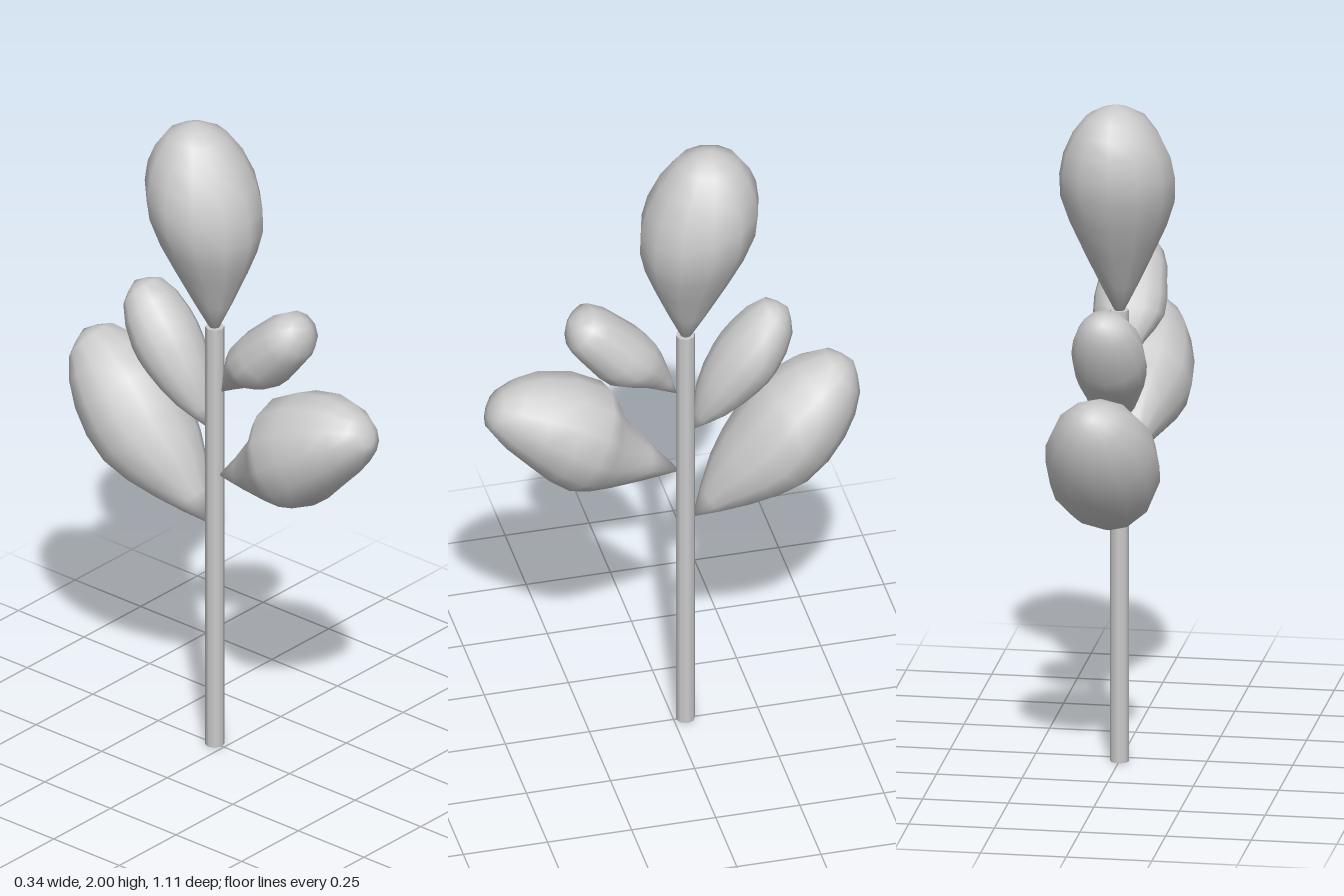
import * as THREE from 'three';
import { mergeVertices } from 'three/addons/utils/BufferGeometryUtils.js';

const material = new THREE.MeshStandardMaterial({ color: 0xcccccc });
const SIDES = 12;
const STEPS = 10;

// Plump leaf lofted between two outlines in the (z, y) plane, from base to tip.
// edgeA and edgeB are opposite edges; widthRatio is the x width over the gap between them.
function leafGeometry({ base, tip, edgeA, edgeB, widthRatio }) {
  const curve = (edge) => new THREE.CatmullRomCurve3(
    [base, ...edge, tip].map(([z, y]) => new THREE.Vector3(0, y, z)));
  const a = curve(edgeA);
  const b = curve(edgeB);
  const positions = [];
  const index = [];
  for (let i = 0; i <= STEPS; i++) {
    const pa = a.getPoint(i / STEPS);
    const pb = b.getPoint(i / STEPS);
    const middle = pa.clone().add(pb).multiplyScalar(0.5);
    const half = pa.clone().sub(middle);
    const width = half.length() * widthRatio;
    for (let j = 0; j < SIDES; j++) {
      const angle = (j / SIDES) * Math.PI * 2;
      const p = middle.clone().addScaledVector(half, Math.cos(angle));
      positions.push(width * Math.sin(angle), p.y, p.z);
      if (i === STEPS) continue;
      const k = i * SIDES + j;
      const next = i * SIDES + ((j + 1) % SIDES);
      if (i > 0) index.push(k, next, k + SIDES);
      if (i < STEPS - 1) index.push(next, next + SIDES, k + SIDES);
    }
  }
  const geometry = new THREE.BufferGeometry();
  geometry.setAttribute('position', new THREE.Float32BufferAttribute(positions, 3));
  geometry.setIndex(index);
  const merged = mergeVertices(geometry, 1e-4);
  merged.computeVertexNormals();
  return merged;
}

const leaves = [
  {
    name: 'topLeaf', base: [-0.035, 1.33], tip: [-0.11, 2], widthRatio: 0.95,
    edgeA: [[0.06, 1.54], [0.1, 1.67], [0.08, 1.81], [-0.01, 1.96]],
    edgeB: [[-0.16, 1.55], [-0.245, 1.74], [-0.245, 1.87], [-0.195, 1.96]],
  },
  {
    name: 'lowerFrontLeaf', base: [-0.02, 0.88], tip: [0.55, 1.2], widthRatio: 0.98,
    edgeA: [[0.205, 0.88], [0.34, 0.905], [0.45, 1.005], [0.56, 1.14]],
    edgeB: [[0.14, 1.09], [0.185, 1.2], [0.38, 1.275], [0.505, 1.25]],
  },
  {
    name: 'lowerBackLeaf', base: [-0.055, 0.71], tip: [-0.535, 1.18], widthRatio: 1.1,
    edgeA: [[-0.115, 0.9], [-0.19, 1.03], [-0.28, 1.14], [-0.455, 1.215]],
    edgeB: [[-0.22, 0.75], [-0.39, 0.82], [-0.505, 0.96], [-0.55, 1.09]],
  },
  {
    name: 'upperFrontLeaf', base: [-0.01, 1.155], tip: [0.31, 1.47], widthRatio: 1.15,
    edgeA: [[0.11, 1.215], [0.21, 1.25], [0.275, 1.32], [0.32, 1.39]],
    edgeB: [[0.02, 1.26], [0.055, 1.345], [0.14, 1.43], [0.24, 1.5]],
  },
  {
    name: 'upperBackLeaf', base: [-0.055, 1.02], tip: [-0.34, 1.405], widthRatio: 1.12,
    edgeA: [[-0.07, 1.16], [-0.12, 1.28], [-0.18, 1.36], [-0.27, 1.43]],
    edgeB: [[-0.15, 1.07], [-0.25, 1.15], [-0.3, 1.21], [-0.35, 1.33]],
  },
];

export function createModel() {
  const plant = new THREE.Group();
  plant.name = 'plant';

  // Straight stem, its top hidden inside the top leaf
  const stem = new THREE.Mesh(new THREE.CylinderGeometry(0.028, 0.028, 1.36, 8), material);
  stem.name = 'stem';
  stem.position.set(0, 0.68, -0.035);
  plant.add(stem);

  // One leaf on top and two pairs along the stem
  for (const leaf of leaves) {
    const mesh = new THREE.Mesh(leafGeometry(leaf), material);
    mesh.name = leaf.name;
    plant.add(mesh);
  }
  return plant;
}
